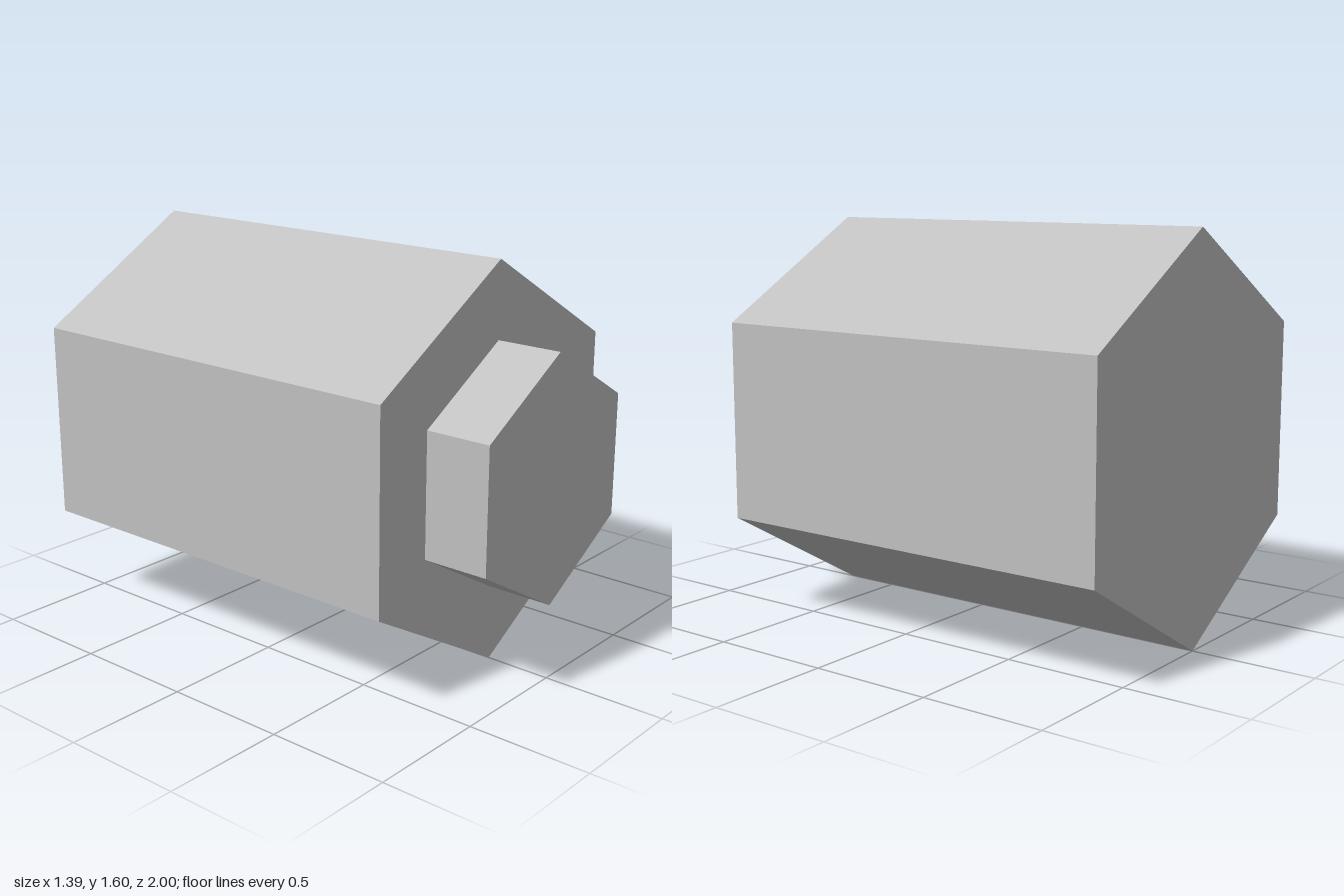
import * as THREE from 'three';

const CENTRE_Y = 0.8;

// Six-sided prism lying along z, with a corner pointing up
function hexPrism(name, radius, zBack, zFront, material) {
  const geometry = new THREE.CylinderGeometry(radius, radius, zFront - zBack, 6);
  geometry.rotateX(Math.PI / 2);
  const mesh = new THREE.Mesh(geometry, material);
  mesh.name = name;
  mesh.position.set(0, CENTRE_Y, (zBack + zFront) / 2);
  return mesh;
}

export function createModel() {
  const grey = new THREE.MeshStandardMaterial({ color: 0xc0c0c0, flatShading: true });
  grey.name = 'light grey';

  const model = new THREE.Group();
  model.name = 'hexPlug';
  model.add(
    hexPrism('body', 0.8, -1, 0.73, grey), // large main block
    hexPrism('frontBoss', 0.495, 0.73, 1, grey) // smaller raised end
  );
  return model;
}
